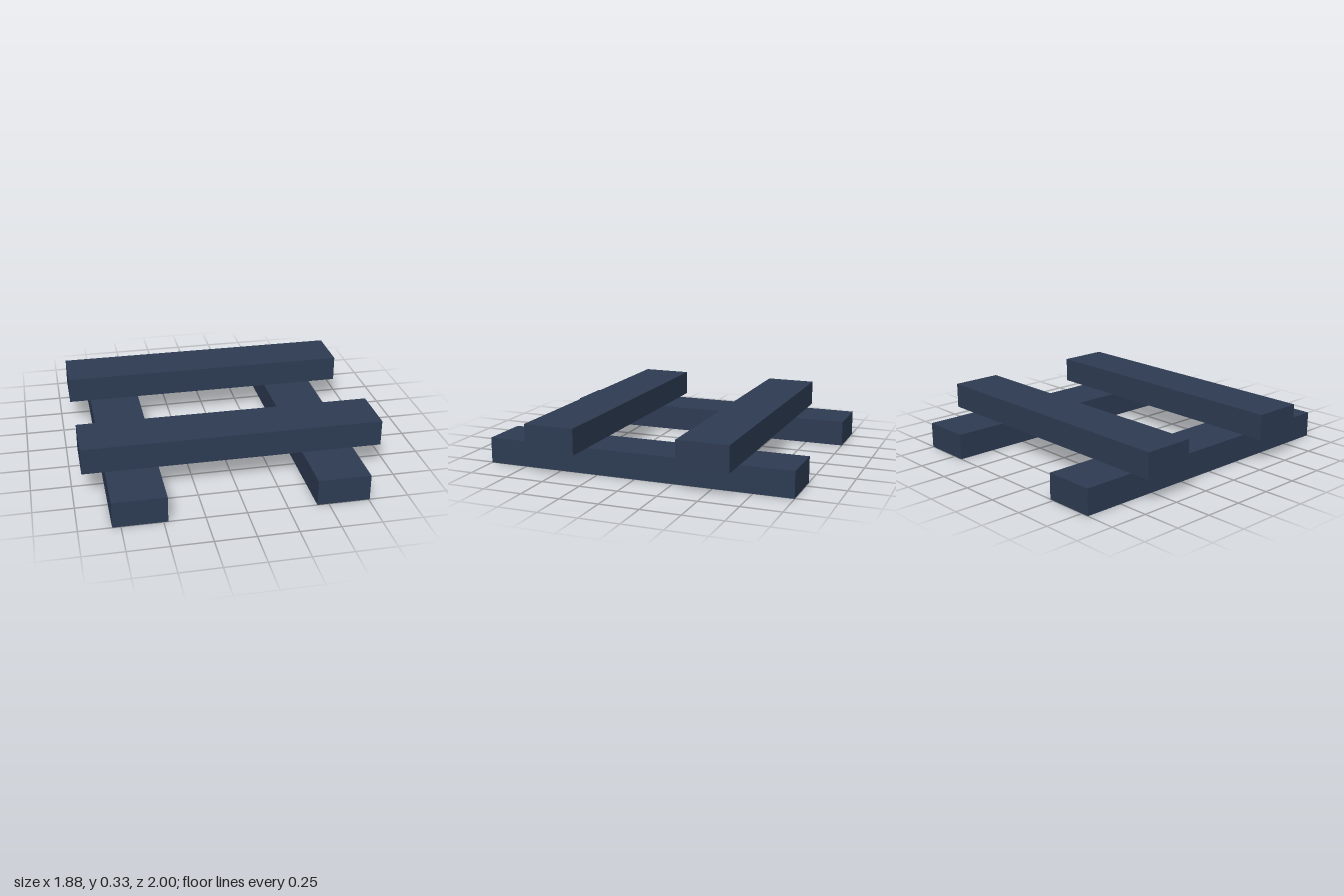
import * as THREE from 'three';

export function createModel() {
  const group = new THREE.Group();
  const slate = new THREE.MeshStandardMaterial({ color: 0x2d3b53 });
  slate.name = 'darkSlateBlue';

  const width = 0.328; // beam width
  const height = 0.165; // beam thickness

  function beam(name, sizeX, sizeZ, x, y, z) {
    const mesh = new THREE.Mesh(new THREE.BoxGeometry(sizeX, height, sizeZ), slate);
    mesh.name = name;
    mesh.position.set(x, y, z);
    group.add(mesh);
  }

  // Two lower beams running front to back
  beam('lowerBeamRight', width, 2, -0.637, height / 2, 0);
  beam('lowerBeamLeft', width, 2, 0.593, height / 2, 0);

  // Two upper beams laid across them
  beam('upperBeamBack', 1.88, width, 0, height * 1.5, -0.504);
  beam('upperBeamFront', 1.88, width, 0, height * 1.5, 0.482);

  return group;
}
